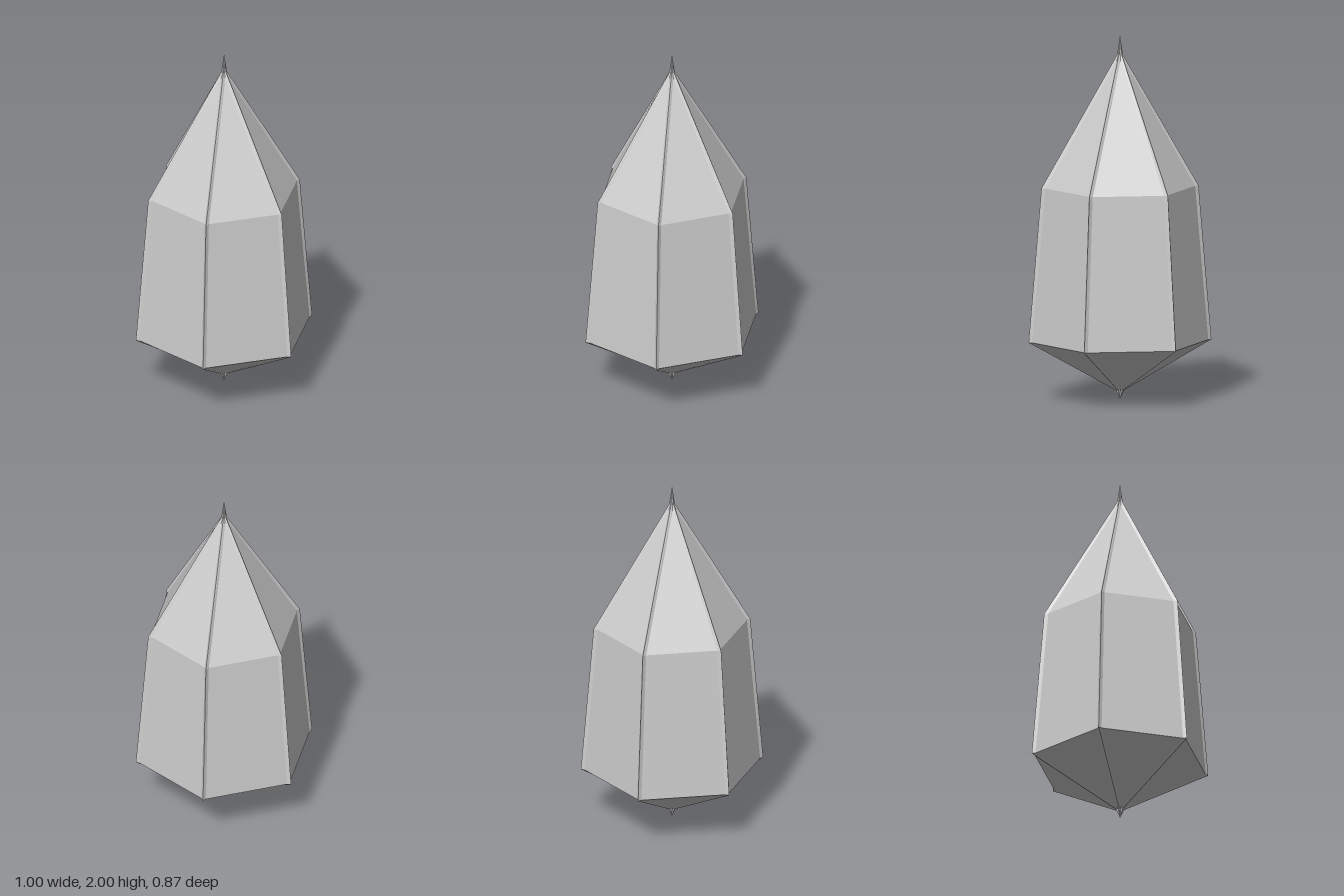
import * as THREE from 'three';

const SIDES = 6;
const HALF_WIDTH = 0.012;

// Stations along one corner, bottom to top: [ridge radius, base radius, half width, y]
const STATIONS = [
  [0, 0, 0, 0],
  [0.022, 0.004, HALF_WIDTH, 0.05],
  [0.5, 0.482, HALF_WIDTH, 0.32],
  [0.43, 0.408, HALF_WIDTH, 1.165],
  [0.016, 0.003, HALF_WIDTH * 0.9, 1.89],
  [0, 0, 0, 2],
];

// Thin triangular rib that follows a corner of the crystal along +x
function ribGeometry() {
  const positions = [];
  const index = [];
  STATIONS.forEach(([ridge, base, half, y], i) => {
    positions.push(base, y, half, ridge, y, 0, base, y, -half);
    if (i === 0) return;
    const a = (i - 1) * 3;
    const b = i * 3;
    for (let k = 0; k < 2; k++) {
      index.push(a + k, a + k + 1, b + k + 1, a + k, b + k + 1, b + k);
    }
  });
  const geometry = new THREE.BufferGeometry();
  geometry.setAttribute('position', new THREE.Float32BufferAttribute(positions, 3));
  geometry.setIndex(index);
  const flat = geometry.toNonIndexed();
  flat.computeVertexNormals();
  return flat;
}

export function createModel() {
  const group = new THREE.Group();
  group.name = 'crystal';

  const grey = new THREE.MeshStandardMaterial({ color: 0xcccccc, side: THREE.DoubleSide });
  grey.name = 'pale grey';

  // Six-sided body: short point below, tapered shaft, long point above
  const profile = [[0, 0.045], [0.488, 0.32], [0.416, 1.165], [0, 1.9]]
    .map(([r, y]) => new THREE.Vector2(r, y));
  const bodyGeometry = new THREE.LatheGeometry(profile, SIDES, Math.PI / 2).toNonIndexed();
  bodyGeometry.computeVertexNormals();
  const body = new THREE.Mesh(bodyGeometry, grey);
  body.name = 'body';
  group.add(body);

  // Ribs along the six corners, meeting in a spike at both ends
  const ribs = new THREE.Group();
  ribs.name = 'edgeRibs';
  const geometry = ribGeometry();
  for (let i = 0; i < SIDES; i++) {
    const rib = new THREE.Mesh(geometry, grey);
    rib.name = 'edgeRib' + (i + 1);
    rib.rotation.y = (i / SIDES) * Math.PI * 2;
    ribs.add(rib);
  }
  group.add(ribs);

  return group;
}
